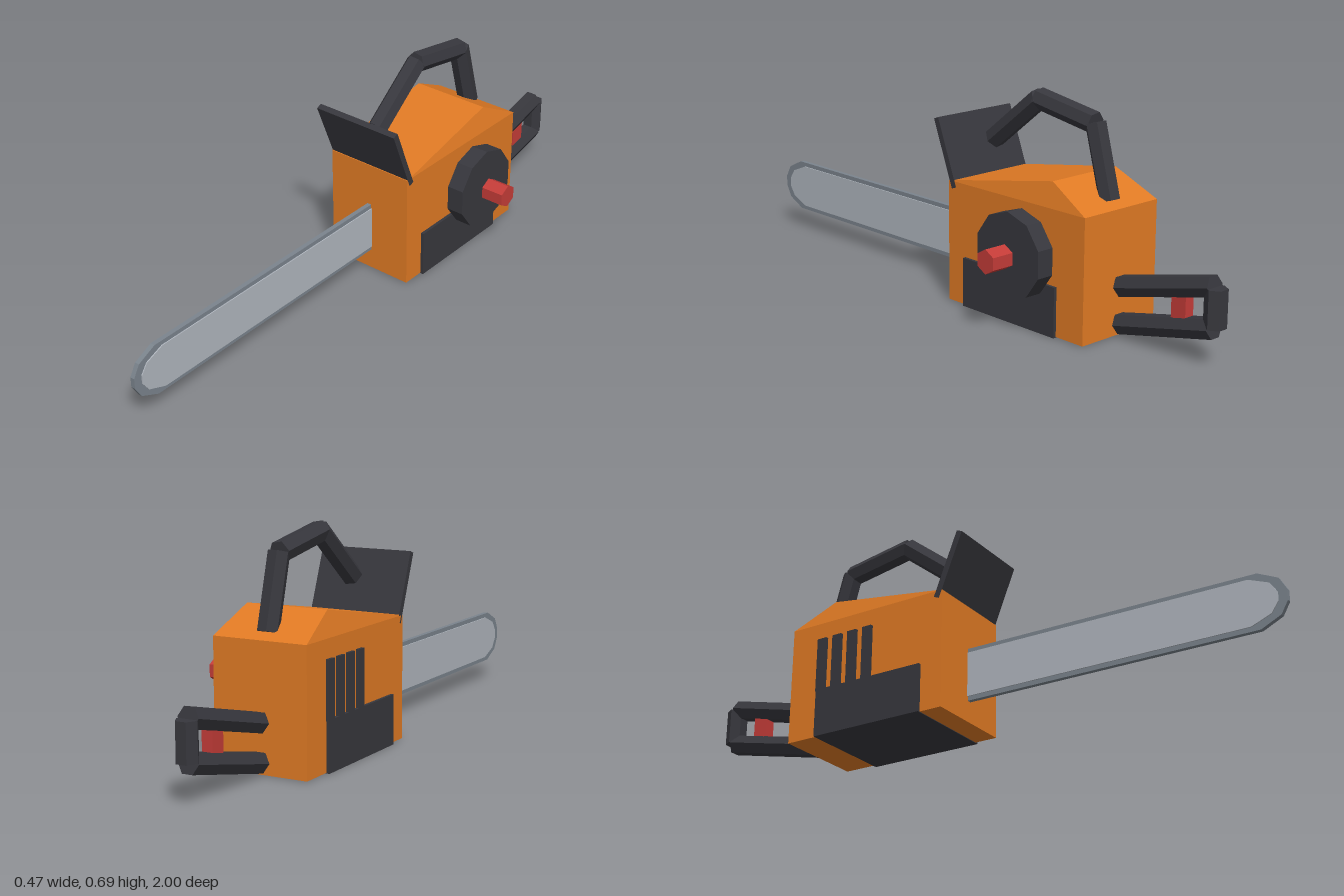
import * as THREE from 'three';
import { ConvexGeometry } from 'three/addons/geometries/ConvexGeometry.js';

const mat = (name, color) => {
  const m = new THREE.MeshStandardMaterial({ color, flatShading: true });
  m.name = name;
  return m;
};

export function createModel() {
  const orange = mat('orange casing', 0xe07a24);
  const dark = mat('dark plastic', 0x37373d);
  const red = mat('red control', 0xc43c38);
  const steel = mat('light steel', 0xb0b6be);
  const chainGrey = mat('chain grey', 0x7b848d);

  const model = new THREE.Group();
  model.name = 'chainsaw';
  const add = (name, geometry, material, parent = model) => {
    const mesh = new THREE.Mesh(geometry, material);
    mesh.name = name;
    parent.add(mesh);
    return mesh;
  };
  const box = (name, material, [x0, x1], [y0, y1], [z0, z1], parent) => {
    const g = new THREE.BoxGeometry(x1 - x0, y1 - y0, z1 - z0);
    g.translate((x0 + x1) / 2, (y0 + y1) / 2, (z0 + z1) / 2);
    return add(name, g, material, parent);
  };
  const midX = -0.0725;

  // Casing: a box whose roof rises to a narrower ridge near the back
  const corners = [];
  for (const x of [-0.225, 0.08]) {
    for (const z of [-0.043, -0.615]) {
      corners.push(new THREE.Vector3(x, 0.002, z), new THREE.Vector3(x, 0.385, z));
    }
  }
  for (const x of [-0.205, 0.06]) corners.push(new THREE.Vector3(x, 0.46, -0.467));
  add('casing', new ConvexGeometry(corners), orange);

  // Lower band running across the casing, and cooling vents on one side
  box('lowerBand', dark, [-0.235, 0.09], [0, 0.155], [-0.508, -0.118]);
  const vents = new THREE.Group();
  vents.name = 'vents';
  model.add(vents);
  for (let i = 0; i < 4; i++) {
    const z = -0.493 + i * 0.058;
    box('vent', dark, [-0.235, -0.224], [0.15, 0.328], [z - 0.017, z + 0.017], vents);
  }

  // Sloping hand guard
  const guard = add('handGuard', new THREE.BoxGeometry(0.305, 0.222, 0.02), dark);
  guard.position.set(midX, 0.467, -0.024);
  guard.rotation.x = 0.376;

  // Six-sided handle bars between [z, y] points
  const bar = (name, [z0, y0], [z1, y1], parent, twist = 0) => {
    const dy = y1 - y0, dz = z1 - z0;
    const g = new THREE.CylinderGeometry(0.0335, 0.0335, Math.hypot(dy, dz), 6);
    g.rotateY(Math.PI / 6 + twist);
    const mesh = add(name, g, dark, parent);
    mesh.rotation.x = Math.atan2(dz, dy);
    mesh.position.set(midX, (y0 + y1) / 2, (z0 + z1) / 2);
  };
  const topHandle = new THREE.Group();
  topHandle.name = 'topHandle';
  bar('topHandleFront', [-0.083, 0.5], [-0.28, 0.657], topHandle, 0.17);
  bar('topHandleGrip', [-0.275, 0.656], [-0.505, 0.618], topHandle, 0.17);
  bar('topHandleRear', [-0.506, 0.62], [-0.567, 0.4], topHandle, 0.17);
  const rearHandle = new THREE.Group();
  rearHandle.name = 'rearHandle';
  bar('rearHandleUpper', [-0.62, 0.153], [-0.963, 0.237], rearHandle);
  bar('rearHandleLower', [-0.62, 0.038], [-0.965, 0.115], rearHandle);
  bar('rearHandleEnd', [-0.969, 0.118], [-0.969, 0.233], rearHandle);
  model.add(topHandle, rearHandle);

  // Trigger inside the rear handle
  box('trigger', red, [midX - 0.017, midX + 0.017], [0.115, 0.19], [-0.877, -0.825]);

  // Starter disc and pull knob, both with a corner pointing up
  const sideDisc = (name, radius, sides, x0, x1, material) => {
    const g = new THREE.CylinderGeometry(radius, radius, x1 - x0, sides);
    g.rotateY(Math.PI / sides);
    g.rotateZ(Math.PI / 2);
    g.translate((x0 + x1) / 2, 0.232, -0.372);
    add(name, g, material);
  };
  sideDisc('starterDisc', 0.134, 10, 0.09, 0.148, dark);
  sideDisc('pullKnob', 0.038, 6, 0.158, 0.235, red);

  // Guide bar and chain: the same blunt-ended outline at two sizes
  const blade = (name, halfHeight, tip, thickness, material) => {
    const tipShape = [[-0.085, 1], [-0.022, 0.65], [0, 0.2]];
    const upper = tipShape.map(([dz, h]) => [tip + dz, h * halfHeight]);
    const lower = upper.map(([z, h]) => [z, -h]).reverse();
    const pts = [[-0.1, halfHeight], ...upper, ...lower, [-0.1, -halfHeight]];
    const shape = new THREE.Shape(pts.map(([z, h]) => new THREE.Vector2(-z, h + 0.156)));
    const g = new THREE.ExtrudeGeometry(shape, { depth: thickness, bevelEnabled: false });
    g.translate(0, 0, -thickness / 2);
    g.rotateY(Math.PI / 2);
    g.translate(midX, 0, 0);
    add(name, g, material);
  };
  blade('chain', 0.086, 1, 0.015, chainGrey);
  blade('guideBar', 0.072, 0.973, 0.022, steel);

  return model;
}
